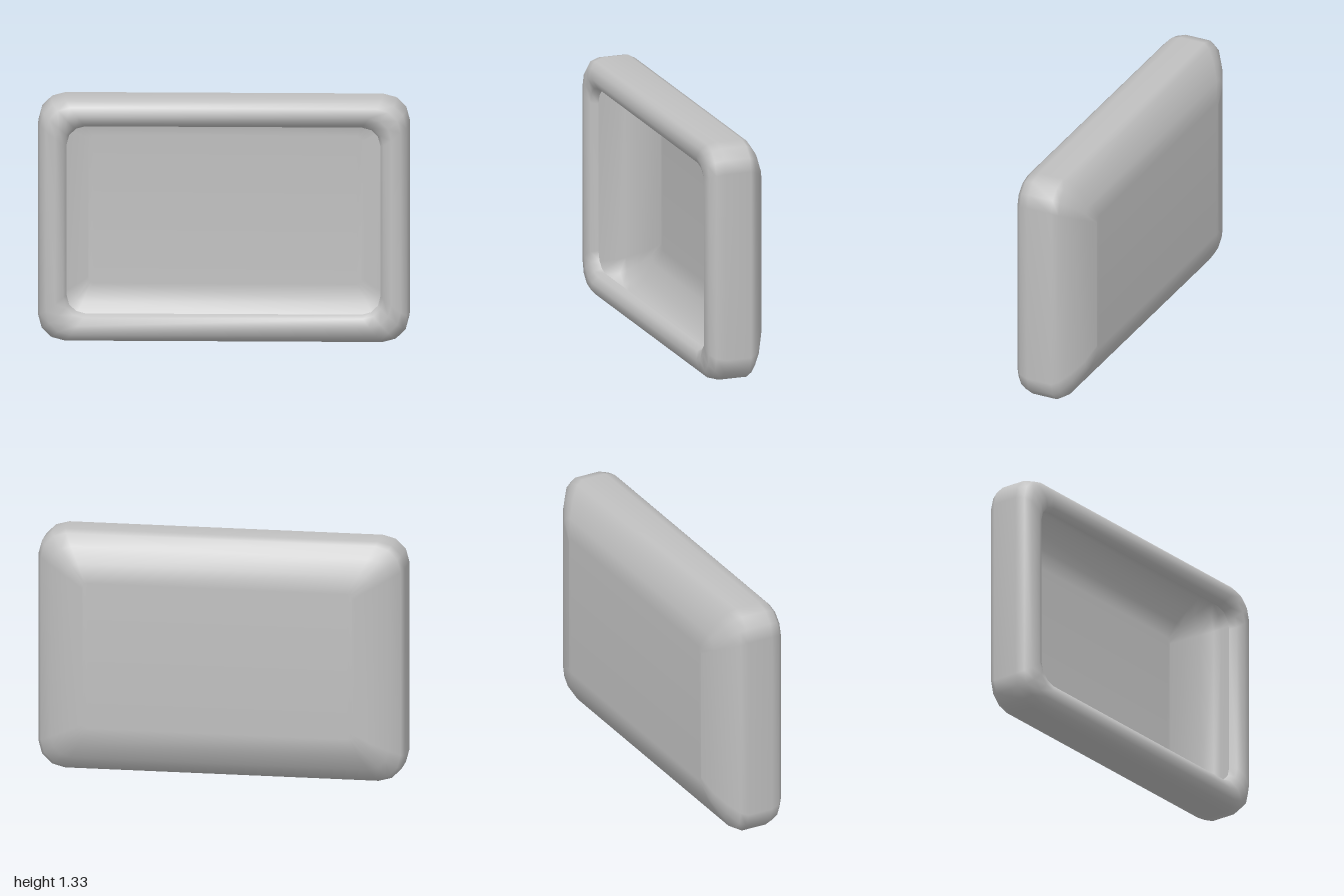
import * as THREE from 'three';

const HALF_W = 1, HALF_H = 0.667;
const CORNER_STEPS = 3;

// Section of the tray wall from the inner lip to the back: [inset, z, corner radius]
const SECTION = [
  [0.155, 0.13, 0.1],
  [0.138, 0.17, 0.11],
  [0.095, 0.19, 0.12],
  [0.045, 0.18, 0.13],
  [0.014, 0.15, 0.14],
  [0, 0.1, 0.145],
  [0, -0.045, 0.145],
  [0.018, -0.08, 0.14],
  [0.08, -0.125, 0.11],
  [0.165, -0.167, 0.07],
  [0.262, -0.19, 0.03],
];

// Rounded rectangle, counter-clockwise from the upper right corner
function roundedLoop(inset, radius) {
  const points = [];
  const cx = HALF_W - inset - radius, cy = HALF_H - inset - radius;
  for (let c = 0; c < 4; c++) {
    const sx = c === 0 || c === 3 ? 1 : -1;
    const sy = c < 2 ? 1 : -1;
    for (let s = 0; s <= CORNER_STEPS; s++) {
      const a = (c + s / CORNER_STEPS) * Math.PI / 2;
      points.push([sx * cx + radius * Math.cos(a), sy * cy + radius * Math.sin(a)]);
    }
  }
  return points;
}

function trayGeometry() {
  const positions = [], index = [];
  const n = 4 * (CORNER_STEPS + 1);
  for (const [inset, z, radius] of SECTION) {
    for (const [x, y] of roundedLoop(inset, radius)) positions.push(x, y + HALF_H, z);
  }
  // Rim and side walls
  for (let k = 0; k < SECTION.length - 1; k++) {
    for (let i = 0; i < n; i++) {
      const j = (i + 1) % n;
      const a = k * n + i, b = k * n + j, c = a + n, d = b + n;
      index.push(a, c, b, b, c, d);
    }
  }
  // Back panel, bridged from its upper half to its lower half
  const base = (SECTION.length - 1) * n;
  for (let i = 0; i < n / 2 - 1; i++) {
    const a = base + i, b = a + 1, c = base + n - 2 - i, d = c + 1;
    index.push(a, d, c, a, c, b);
  }
  const geometry = new THREE.BufferGeometry();
  geometry.setAttribute('position', new THREE.Float32BufferAttribute(positions, 3));
  geometry.setIndex(index);
  geometry.computeVertexNormals();
  return geometry;
}

export function createModel() {
  const group = new THREE.Group();
  group.name = 'hollowTray';
  const grey = new THREE.MeshStandardMaterial({ color: 0xc0c0c0, side: THREE.DoubleSide });
  grey.name = 'lightGrey';
  const shell = new THREE.Mesh(trayGeometry(), grey);
  shell.name = 'shell';
  group.add(shell);
  return group;
}
